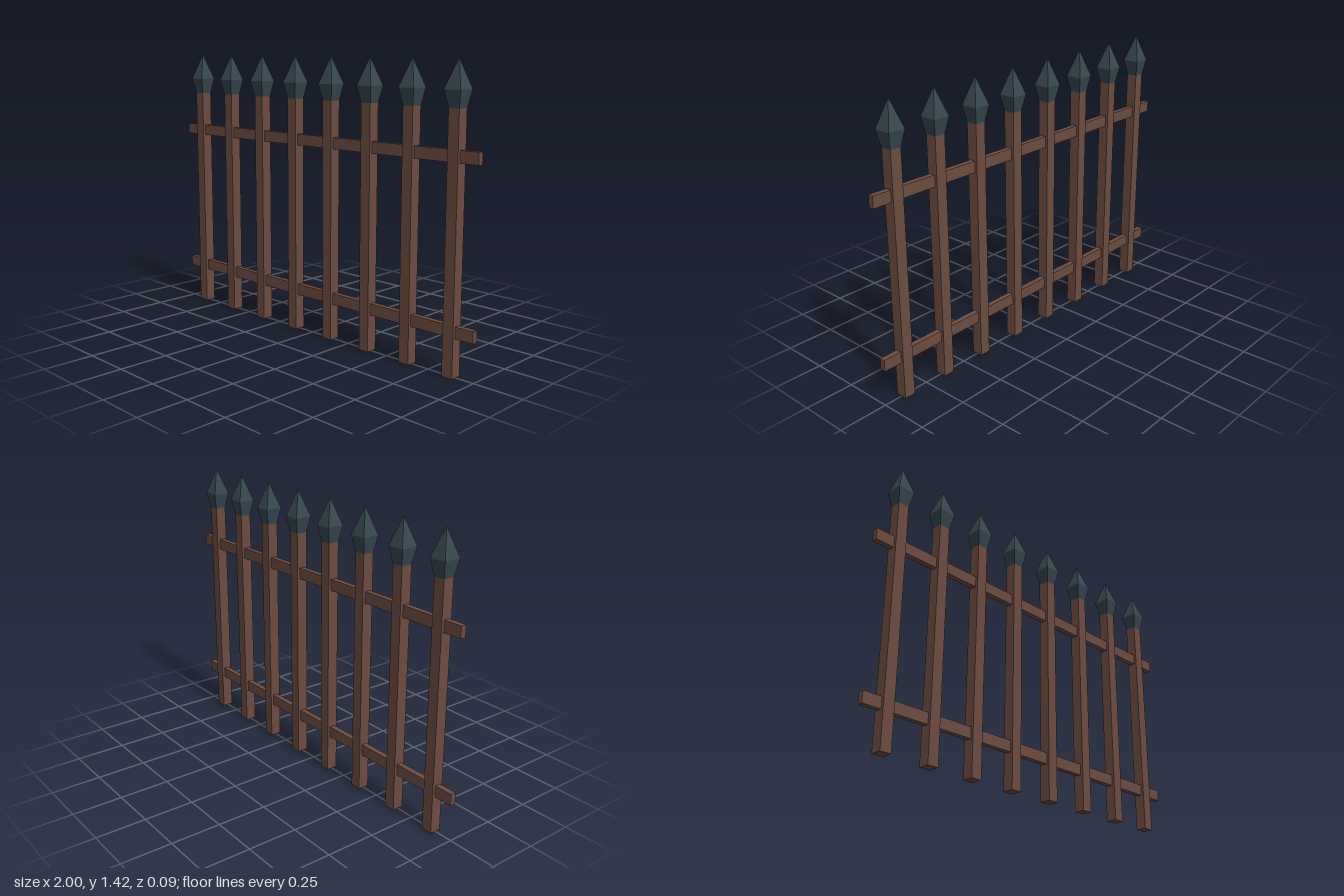
import * as THREE from 'three';

const POSTS = 8, SPACING = 0.25, POST_WIDTH = 0.057, POST_HEIGHT = 1.206;

export function createModel() {
  const fence = new THREE.Group();
  fence.name = 'fence';

  const wood = new THREE.MeshStandardMaterial({ color: 0x6d4c41, flatShading: true });
  const iron = new THREE.MeshStandardMaterial({ color: 0x37474f, flatShading: true });

  const add = (name, geometry, material, x, y) => {
    const mesh = new THREE.Mesh(geometry, material);
    mesh.name = name;
    mesh.position.set(x, y, 0);
    fence.add(mesh);
  };

  // Square spearhead: half-widths and heights turned in four sides
  const profile = [[0, 0], [POST_WIDTH / 2, 0], [0.044, 0.08], [0, 0.214]]
    .map(([half, y]) => new THREE.Vector2(half * Math.SQRT2, y));
  const spearGeometry = new THREE.LatheGeometry(profile, 4, Math.PI / 4);
  const postGeometry = new THREE.BoxGeometry(POST_WIDTH, POST_HEIGHT, POST_WIDTH);
  const railGeometry = new THREE.BoxGeometry(2, 0.057, 0.0285);

  // Evenly spaced pickets, each topped by a spearhead
  for (let i = 0; i < POSTS; i++) {
    const x = (i - (POSTS - 1) / 2) * SPACING;
    add('post', postGeometry, wood, x, POST_HEIGHT / 2);
    add('spearhead', spearGeometry, iron, x, POST_HEIGHT);
  }

  // Horizontal rails running through the posts
  add('lowerRail', railGeometry, wood, 0, 0.213);
  add('upperRail', railGeometry, wood, 0, 0.999);

  return fence;
}
